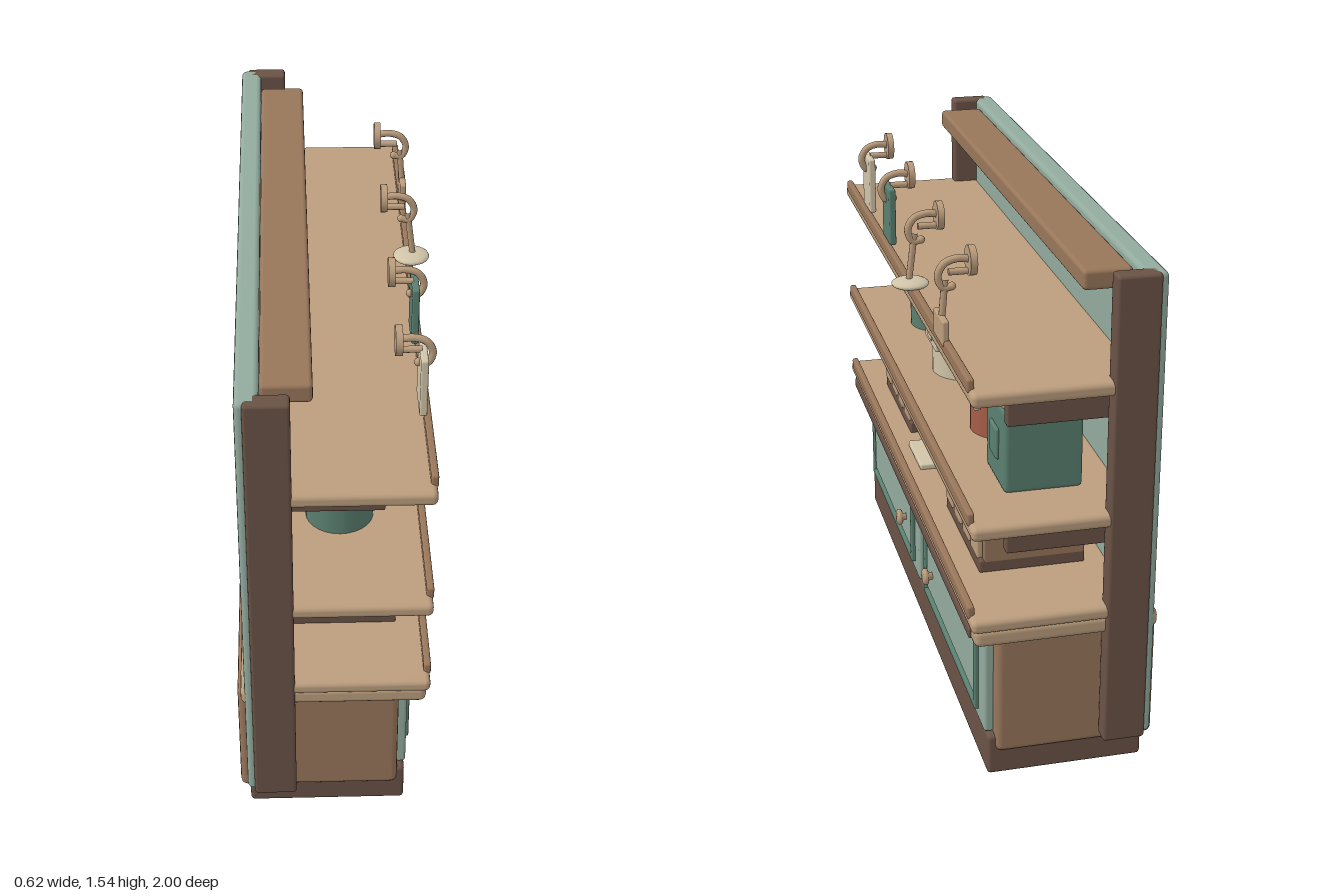
import * as THREE from 'three';
import { RoundedBoxGeometry } from 'three/addons/geometries/RoundedBoxGeometry.js';

const mat = (name, color) => Object.assign(new THREE.MeshStandardMaterial({ color }), { name });
const sage = mat('sage', 0x92aa9d);
const green = mat('deep green', 0x5a7f70);
const dark = mat('dark wood', 0x6a5246);
const wood = mat('mid wood', 0x98765a);
const tan = mat('light wood', 0xbb9d7d);
const cream = mat('cream', 0xd0c4a8);
const red = mat('terracotta', 0xa65c48);

export function createModel() {
  const root = new THREE.Group();

  const add = (name, geo, material, parent = root) => {
    const mesh = new THREE.Mesh(geo, material);
    mesh.name = name;
    parent.add(mesh);
    return mesh;
  };
  // Box from its limits, with softened edges
  const box = (name, material, [x0, x1], [y0, y1], [z0, z1], r = 0.012, parent = root) => {
    const w = x1 - x0, h = y1 - y0, d = z1 - z0;
    const radius = Math.min(r, Math.min(w, h, d) * 0.45);
    const mesh = add(name, new RoundedBoxGeometry(w, h, d, 2, radius), material, parent);
    mesh.position.set((x0 + x1) / 2, (y0 + y1) / 2, (z0 + z1) / 2);
    return mesh;
  };
  const group = (name, x, y, z) => {
    const g = new THREE.Group();
    g.name = name;
    g.position.set(x, y, z);
    root.add(g);
    return g;
  };

  // Carcass
  box('plinth', dark, [-0.28, 0.187], [0, 0.13], [-0.925, 0.925]);
  box('cabinetBody', wood, [-0.308, 0.165], [0.08, 0.485], [-0.94, 0.94], 0.02);
  box('backPanel', sage, [-0.286, -0.22], [0.12, 1.54], [-0.99, 0.99], 0.016);
  box('counterMoulding', tan, [-0.298, 0.24], [0.465, 0.523], [-0.985, 0.985], 0.02);
  box('counterTrim', dark, [0.2, 0.247], [0.477, 0.508], [-0.94, 0.94], 0.005);
  box('topRail', wood, [-0.22, -0.08], [1.465, 1.523], [-0.885, 0.885]);

  // Counter top and shelves, each with a front lip
  [[0.517, 0.558], [0.806, 0.848], [1.2, 1.243]].forEach(([y0, y1], i) => {
    const name = i ? 'shelf' : 'counterTop';
    box(name, tan, [-0.23, 0.25], [y0, y1], [-0.997, 0.997], 0.016);
    box(name + 'Lip', wood, [0.232, 0.253], [y1 - 0.013, y1 + 0.027], [-0.953, 0.953], 0.007);
  });

  // Mirrored posts, brackets and doors
  for (const s of [1, -1]) {
    const span = (a, b) => (s > 0 ? [a, b] : [-b, -a]);
    box('post', dark, [-0.265, -0.14], [0.11, 1.54], span(0.942, 1), 0.01);
    for (const y of [0.685, 1.076]) {
      box('bracket', dark, [-0.22, 0.118], [y, y + 0.11], span(0.82, 0.855), 0.006);
    }
    box('door', sage, [0.16, 0.192], [0.13, 0.447], span(0.03, 0.9), 0.01);
    for (const y of [0.166, 0.384]) {
      box('doorFrameRail', green, [0.18, 0.205], [y, y + 0.022], span(0.1, 0.83), 0.006);
    }
    for (const z of [0.1, 0.808]) {
      box('doorFrameStile', green, [0.18, 0.205], [0.166, 0.406], span(z, z + 0.022), 0.006);
    }
    box('doorInset', sage, [0.18, 0.2], [0.198, 0.374], span(0.132, 0.798), 0.006);
    const knob = add('knob', new THREE.LatheGeometry([
      [0, 0], [0.012, 0], [0.012, 0.02], [0.026, 0.026], [0.027, 0.036], [0.02, 0.042], [0, 0.043],
    ].map(([r, y]) => new THREE.Vector2(r, y)), 20), tan);
    knob.rotation.z = -Math.PI / 2;
    knob.position.set(0.19, 0.283, s * 0.216);
  }

  // Slatted crates on the counter
  for (const z of [0.518, -0.497]) {
    const crate = group('crate', 0, 0.556, z);
    box('crateBase', dark, [-0.155, 0.163], [0, 0.04], [-0.222, 0.222], 0.006, crate);
    box('crateBack', wood, [-0.155, -0.135], [0.04, 0.172], [-0.222, 0.222], 0.006, crate);
    box('crateLining', dark, [0.115, 0.14], [0.03, 0.165], [-0.2, 0.2], 0.004, crate);
    for (const s of [-1, 1]) {
      box('crateSide', wood, [-0.155, 0.15], [0.03, 0.174], [s * 0.211 - 0.011, s * 0.211 + 0.011], 0.006, crate);
    }
    for (let i = 0; i < 4; i++) {
      const c = -0.155 + i * 0.111;
      box('crateSlat', tan, [0.13, 0.165], [0.034, 0.174], [c - 0.043, c + 0.043], 0.006, crate);
    }
    for (const dz of [-0.1, 0.1]) {
      const jar = add('crateContents', new THREE.CylinderGeometry(0.035, 0.035, 0.145, 20), dark, crate);
      jar.position.set(-0.01, 0.107, dz);
    }
  }

  // Notebook lying on the counter
  box('notebook', cream, [0.06, 0.19], [0.556, 0.576], [0.0, 0.2], 0.006);

  // Round canisters with lid, collar and label
  [[0.575, 0.1, 1.123, green, green], [0.137, 0.116, 1.165, cream, cream], [-0.347, 0.102, 1.097, red, red]]
    .forEach(([z, r, top, body, tag]) => {
      const jar = group('canister', 0, 0.846, z);
      const h = top - 0.846;
      add('canisterBody', new THREE.CylinderGeometry(r, r, h - 0.045, 28), body, jar).position.y = (h - 0.045) / 2;
      const collar = add('canisterCollar', new THREE.TorusGeometry(r, 0.009, 8, 32), body, jar);
      collar.rotation.x = Math.PI / 2;
      collar.position.y = h - 0.048;
      const lid = [[0, -0.04], [r, -0.04], [r + 0.005, -0.032], [r + 0.005, -0.01], [r - 0.004, 0], [0, 0]];
      add('canisterLid', new THREE.LatheGeometry(lid.map(([a, b]) => new THREE.Vector2(a, b)), 32), tan, jar).position.y = h;
      box('canisterLabel', cream, [r - 0.012, r + 0.008], [0.098, 0.153], [-0.083, 0.083], 0.004, jar);
      box('labelTag', tag, [r + 0.004, r + 0.012], [0.115, 0.138], [-0.025, 0.025], 0.003, jar);
    });

  // Square tin
  box('tinBody', green, [-0.118, 0.112], [0.846, 1.095], [-0.803, -0.587], 0.014);
  box('tinNeck', green, [-0.1, 0.1], [1.08, 1.115], [-0.785, -0.605], 0.01);
  box('tinLid', tan, [-0.122, 0.122], [1.107, 1.14], [-0.817, -0.573], 0.015);
  box('tinPlate', green, [0.1, 0.121], [0.925, 1.02], [-0.738, -0.652], 0.006);

  // Hooks: round plate, curved arm
  const arm = new THREE.CatmullRomCurve3([
    [0.16, 1.484], [0.2, 1.488], [0.237, 1.475], [0.255, 1.44], [0.24, 1.405], [0.215, 1.408],
  ].map(([x, y]) => new THREE.Vector3(x, y, 0)));
  for (const z of [0.615, 0.257, -0.182, -0.605]) {
    const hook = group('hook', 0, 0, z);
    const plate = add('hookPlate', new THREE.CylinderGeometry(0.043, 0.043, 0.02, 24), tan, hook);
    plate.rotation.z = Math.PI / 2;
    plate.position.set(0.16, 1.48, 0);
    add('hookArm', new THREE.TubeGeometry(arm, 28, 0.011, 10), tan, hook);
    const peg = add('hookPeg', new THREE.CylinderGeometry(0.01, 0.01, 0.06, 10), tan, hook);
    peg.rotation.z = Math.PI / 2;
    peg.position.set(0.195, 1.45, 0);
    add('hookTip', new THREE.SphereGeometry(0.012, 10, 8), tan, hook).position.set(0.215, 1.408, 0);
  }

  // Hanging boards
  box('creamBoard', cream, [0.218, 0.24], [1.268, 1.452], [0.555, 0.68], 0.006);
  box('greenBoard', green, [0.218, 0.24], [1.268, 1.452], [0.197, 0.317], 0.006);

  // Hanging ladle and spatula
  const handle = (name, material, from, to) => {
    const path = new THREE.LineCurve3(new THREE.Vector3(...from), new THREE.Vector3(...to));
    add(name, new THREE.TubeGeometry(path, 1, 0.01, 10), material);
  };
  handle('ladleHandle', tan, [0.235, 1.43, -0.182], [0.255, 1.275, -0.182]);
  const bowl = add('ladleBowl', new THREE.SphereGeometry(0.057, 24, 12), cream);
  bowl.scale.y = 0.28;
  bowl.position.set(0.25, 1.274, -0.182);
  handle('spatulaHandle', tan, [0.235, 1.43, -0.605], [0.245, 1.31, -0.605]);
  box('spatulaBlade', tan, [0.236, 0.256], [1.25, 1.327], [-0.667, -0.543], 0.006);

  return root;
}
